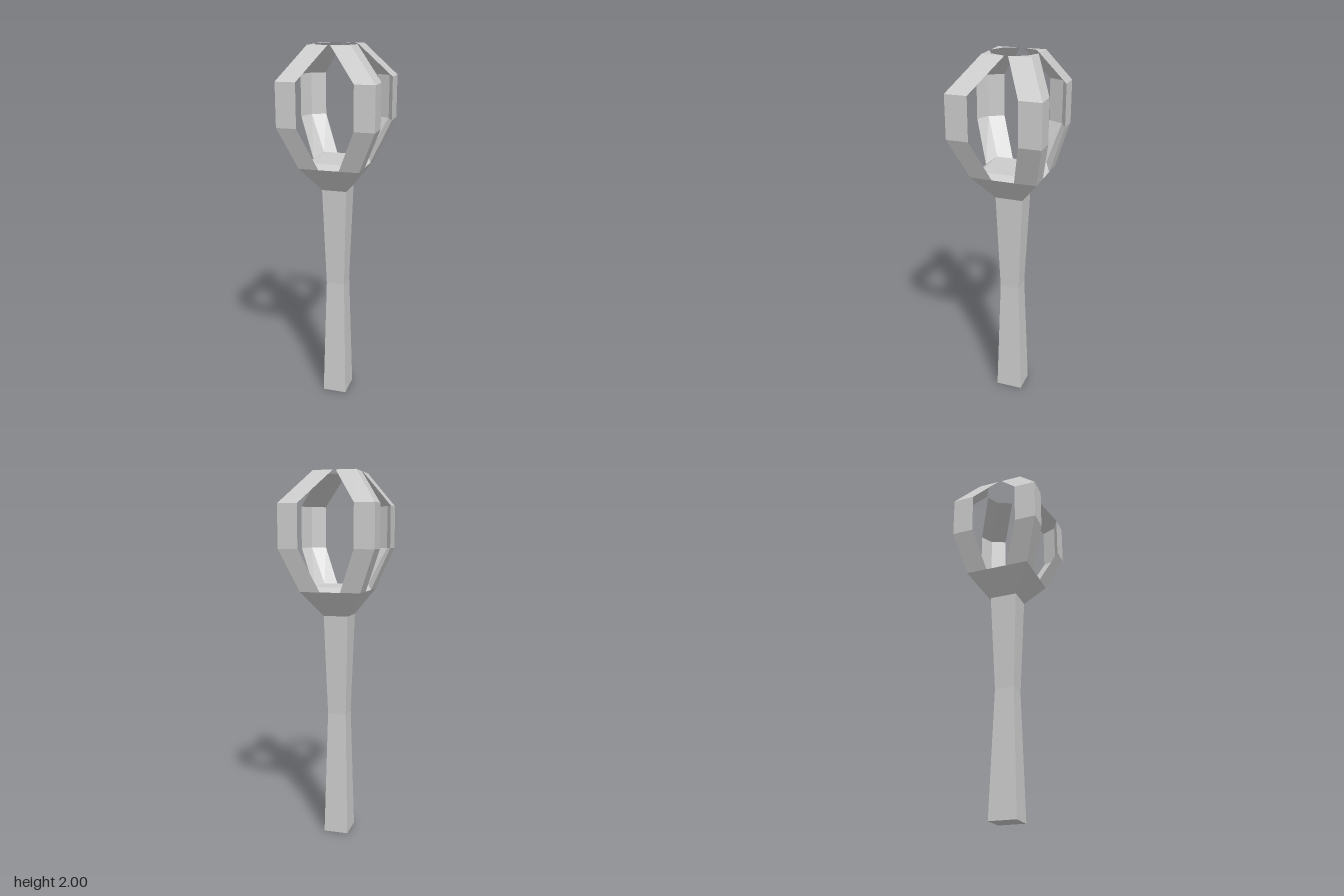
import * as THREE from 'three';

const material = new THREE.MeshStandardMaterial({ color: 0xcccccc, flatShading: true });

// Skin a stack of four-cornered rings (counter-clockwise seen from above).
function loft(name, rings, capBottom) {
  const pos = [];
  const tri = (...pts) => pts.forEach((p) => pos.push(...p));
  for (let r = 0; r < rings.length - 1; r++) {
    const low = rings[r], high = rings[r + 1];
    for (let i = 0; i < 4; i++) {
      const j = (i + 1) % 4;
      tri(low[i], low[j], high[j]);
      tri(low[i], high[j], high[i]);
    }
  }
  const t = rings[rings.length - 1], b = rings[0];
  tri(t[0], t[1], t[2]);
  tri(t[0], t[2], t[3]);
  if (capBottom) {
    tri(b[0], b[2], b[1]);
    tri(b[0], b[3], b[2]);
  }
  const geometry = new THREE.BufferGeometry();
  geometry.setAttribute('position', new THREE.Float32BufferAttribute(pos, 3));
  geometry.computeVertexNormals();
  const mesh = new THREE.Mesh(geometry, material);
  mesh.name = name;
  return mesh;
}

// Rectangular ring from its extents.
const rect = ([y, x0, x1, z0, z1]) => [[x0, y, z1], [x1, y, z1], [x1, y, z0], [x0, y, z0]];

// Extents per level: y, left x, right x, back z, front z
const handleLevels = [
  [0, -0.075, 0.06, -0.087, 0.065],
  [0.69, -0.058, 0.044, -0.063, 0.045],
  [1.24, -0.075, 0.06, -0.087, 0.065],
];
const rim = [1.375, -0.17, 0.157, -0.195, 0.167];
const plate = [1.4, -0.133, 0.123, -0.157, 0.13];
const clawLevels = [
  rim,
  [1.6, -0.257, 0.257, -0.25, 0.25],
  [1.83, -0.257, 0.257, -0.25, 0.25],
  [2, -0.132, 0.098, -0.142, 0.117],
];

// Chevron section: outer corner, two wing edges and a shallow inner corner.
function clawRing([y, x0, x1, z0, z1], sx, sz, level) {
  const x = sx > 0 ? x1 : x0, z = sz > 0 ? z1 : z0;
  const outer = [x, y, z];
  const wingX = [x - sx * 0.108, y, z];
  const wingZ = [x, y, z - sz * 0.12];
  const inner = [x - sx * 0.035, level === 0 ? plate[0] : y, z - sz * 0.038];
  return sx * sz > 0 ? [outer, wingZ, inner, wingX] : [outer, wingX, inner, wingZ];
}

export function createModel() {
  const group = new THREE.Group();
  group.name = 'clawStaff';

  // Waisted square handle
  group.add(loft('handle', handleLevels.map(rect), true));

  // Flared head with a bevelled top plate
  group.add(loft('head', [handleLevels[2], rim, plate].map(rect), false));

  // Four claws curving in over the head
  for (const sx of [-1, 1]) {
    for (const sz of [-1, 1]) {
      const name = (sz > 0 ? 'front' : 'back') + (sx > 0 ? 'Left' : 'Right') + 'Claw';
      group.add(loft(name, clawLevels.map((l, i) => clawRing(l, sx, sz, i)), false));
    }
  }
  return group;
}
